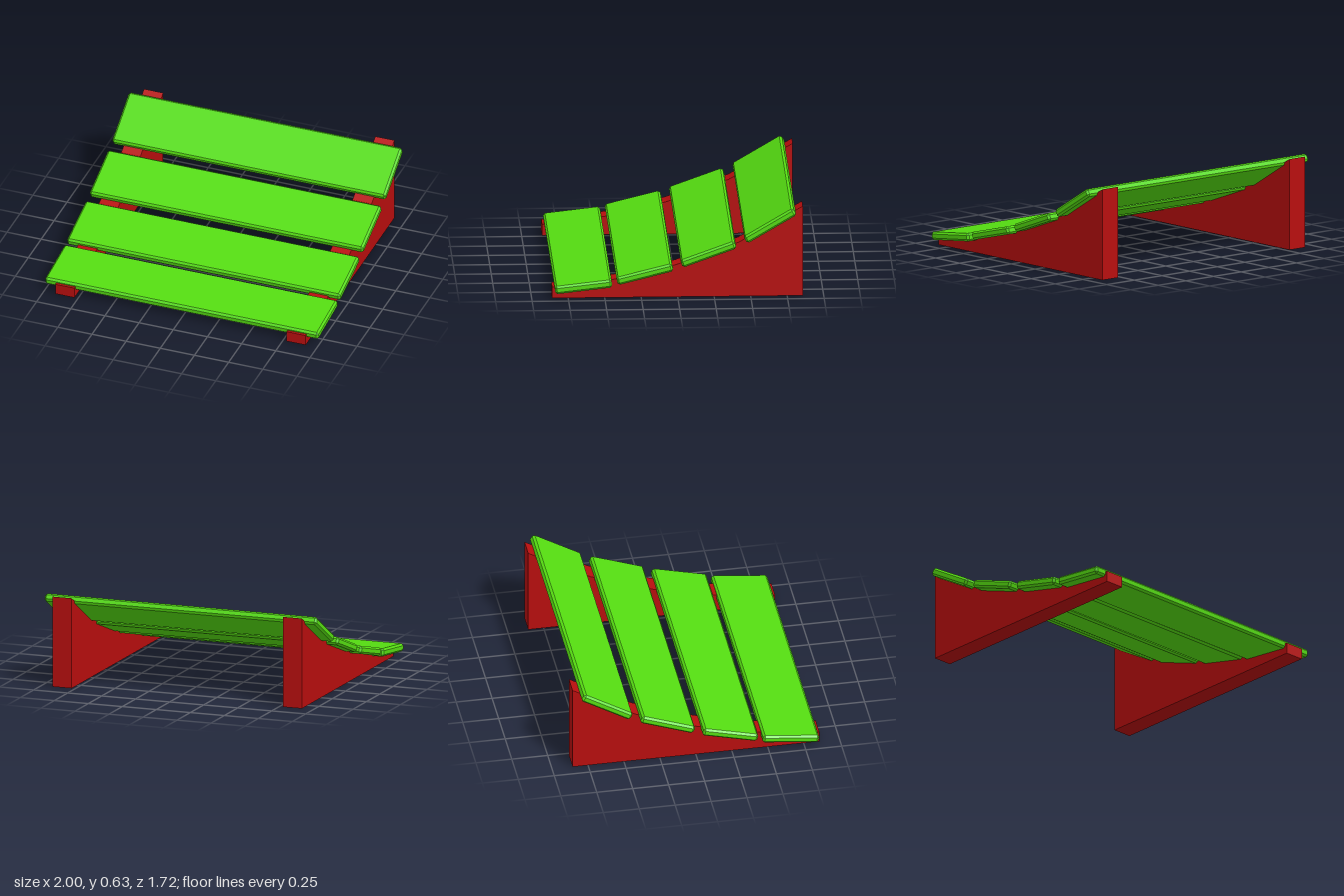
import * as THREE from 'three';
import { ConvexGeometry } from 'three/addons/geometries/ConvexGeometry.js';

// Box with every edge and corner cut by a flat chamfer
function chamferedBox(w, h, d, c) {
  const points = [];
  for (const x of [-w / 2, w / 2])
    for (const y of [-h / 2, h / 2])
      for (const z of [-d / 2, d / 2]) {
        const sx = Math.sign(x) * c, sy = Math.sign(y) * c, sz = Math.sign(z) * c;
        points.push(
          new THREE.Vector3(x, y - sy, z - sz),
          new THREE.Vector3(x - sx, y, z - sz),
          new THREE.Vector3(x - sx, y - sy, z)
        );
      }
  return new ConvexGeometry(points);
}

export function createModel() {
  const group = new THREE.Group();
  const green = new THREE.MeshStandardMaterial({ color: 0x55dd11, flatShading: true });
  const red = new THREE.MeshStandardMaterial({ color: 0xb80e0e, flatShading: true });

  // Side supports: a faceted, steepening ramp profile as [z, y]
  const profile = [
    [0.86, 0], [-0.857, 0], [-0.857, 0.632],
    [-0.42, 0.383], [0.01, 0.228], [0.43, 0.13], [0.86, 0.077],
  ];
  const shape = new THREE.Shape(profile.map(([z, y]) => new THREE.Vector2(-z, y)));
  const thickness = 0.14;
  const supportGeometry = new THREE.ExtrudeGeometry(shape, { depth: thickness, bevelEnabled: false });
  supportGeometry.translate(0, 0, -thickness / 2).rotateY(Math.PI / 2);
  for (const side of [1, -1]) {
    const support = new THREE.Mesh(supportGeometry, red);
    support.name = side > 0 ? 'leftSupport' : 'rightSupport';
    support.position.x = side * 0.846;
    group.add(support);
  }

  // Planks, front to back: [z, y, tilt in degrees]
  const plankGeometry = chamferedBox(2, 0.056, 0.392, 0.014);
  const planks = [
    [0.648, 0.095, 6.5], [0.228, 0.18, 14], [-0.208, 0.317, 19.8], [-0.63, 0.514, 30.5],
  ];
  planks.forEach(([z, y, tilt], i) => {
    const plank = new THREE.Mesh(plankGeometry, green);
    plank.name = `plank${i + 1}`;
    plank.position.set(0, y, z);
    plank.rotation.x = THREE.MathUtils.degToRad(tilt);
    group.add(plank);
  });

  return group;
}
